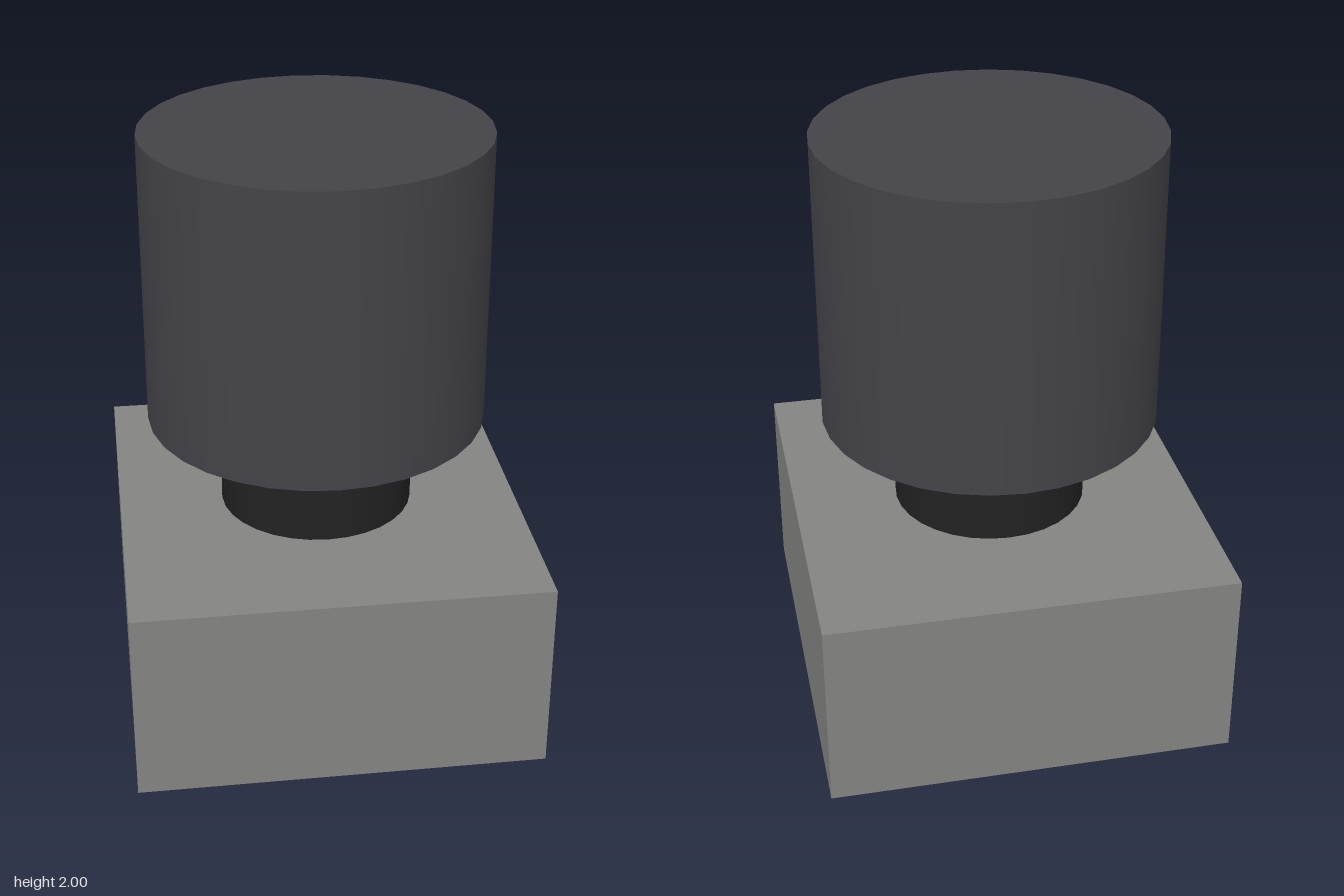
import * as THREE from 'three';

export function createModel() {
  const group = new THREE.Group();
  const material = (name, color) => {
    const m = new THREE.MeshStandardMaterial({ color });
    m.name = name;
    return m;
  };
  const add = (name, geometry, mat, y) => {
    const mesh = new THREE.Mesh(geometry, mat);
    mesh.name = name;
    mesh.position.y = y;
    group.add(mesh);
  };

  // Rectangular block standing on the ground
  add('base', new THREE.BoxGeometry(1.37, 0.67, 1.48), material('warm grey', 0x848481), 0.335);
  // Narrow shaft between block and knob
  add('neck', new THREE.CylinderGeometry(0.33, 0.33, 0.33, 32), material('black', 0x222222), 0.835);
  // Wide cylindrical knob
  add('knob', new THREE.CylinderGeometry(0.575, 0.575, 1, 32), material('dark grey', 0x444348), 1.5);

  return group;
}
